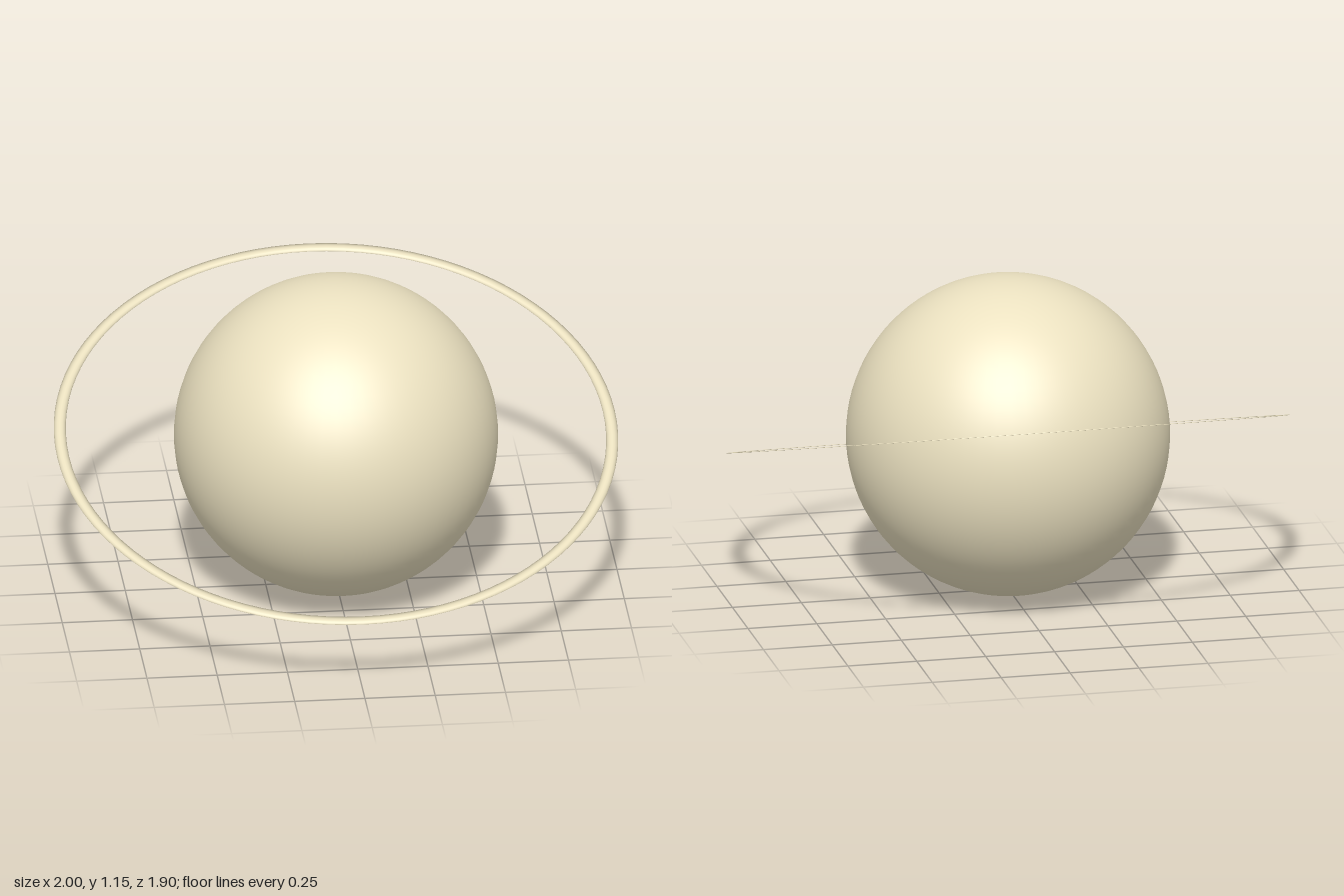
import * as THREE from 'three';

const RADIUS = 0.574;       // globe radius
const RING_OUTER = 1.0;
const RING_INNER = 0.957;
const RING_FLATNESS = 0.05; // ring thickness relative to its width
const TILT = THREE.MathUtils.degToRad(18);

export function createModel() {
  const model = new THREE.Group();
  model.name = 'ringedPlanet';
  const material = new THREE.MeshStandardMaterial({ color: 0xebe1c0 });

  // Smooth globe resting on the ground
  const globe = new THREE.Mesh(new THREE.SphereGeometry(RADIUS, 64, 48), material);
  globe.name = 'planet';
  globe.position.y = RADIUS;
  model.add(globe);

  // Thin ring: a torus pressed flat, keeping the rounded tube's normals
  const tube = (RING_OUTER - RING_INNER) / 2;
  const ringGeometry = new THREE.TorusGeometry(RING_OUTER - tube, tube, 16, 100);
  const points = ringGeometry.attributes.position;
  for (let i = 0; i < points.count; i++) points.setZ(i, points.getZ(i) * RING_FLATNESS);

  const ring = new THREE.Mesh(ringGeometry, material);
  ring.name = 'ring';
  ring.position.y = RADIUS;
  ring.rotation.x = Math.PI / 2 + TILT; // dips toward the front
  model.add(ring);

  return model;
}
